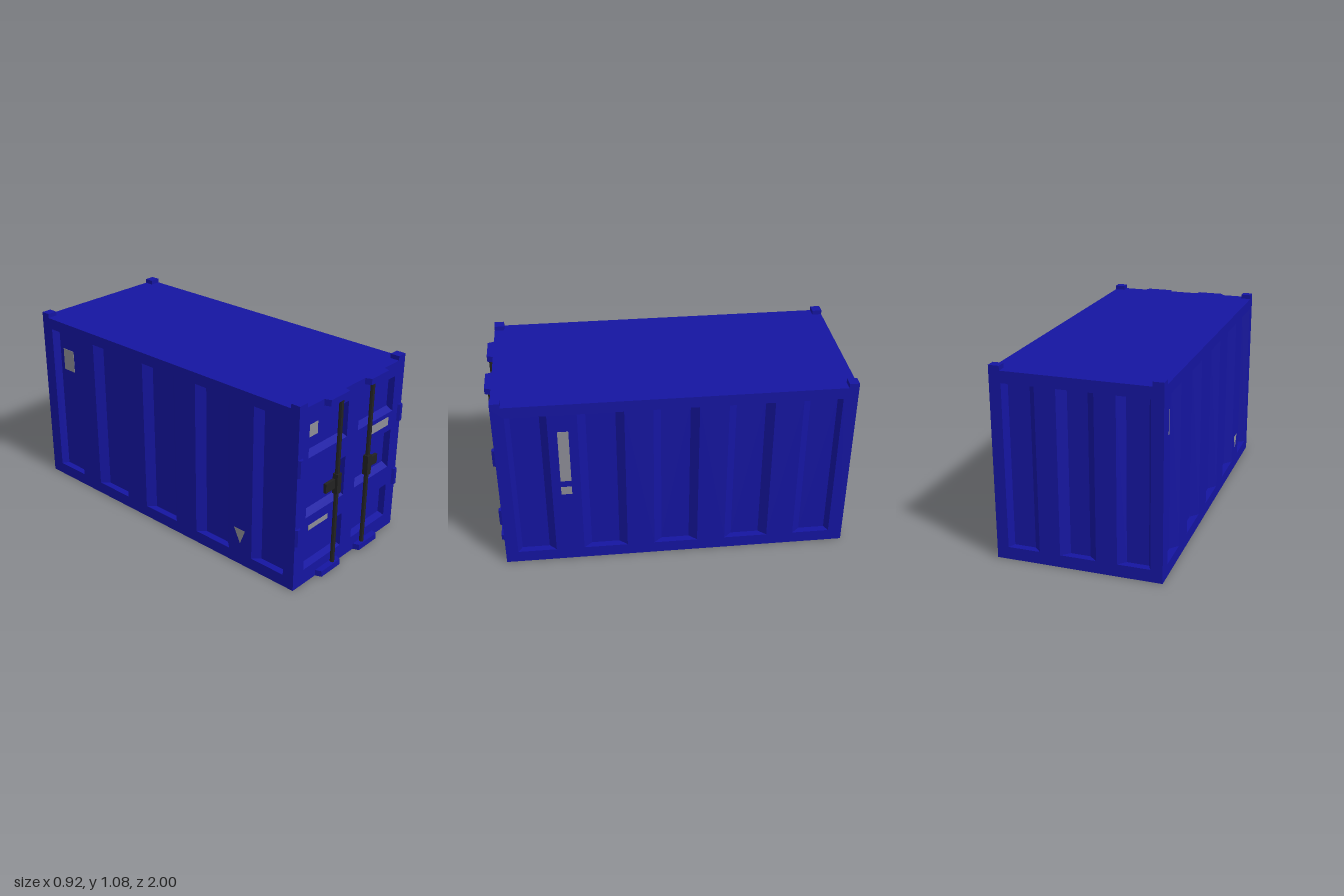
import * as THREE from 'three';
import { mergeGeometries } from 'three/addons/utils/BufferGeometryUtils.js';

const W = 0.46, H = 1.05, BACK = -1, FRONT = 0.965, DEPTH = 0.04;
const mat = (color) => new THREE.MeshStandardMaterial({ color, flatShading: true });

export function createModel() {
  const blue = mat(0x1515a0), dark = mat(0x222222), grey = mat(0x8c8c96);
  const root = new THREE.Group();
  root.name = 'shippingContainer';

  const add = (name, geometry, material, x = 0, y = 0, z = 0, parent = root) => {
    const mesh = new THREE.Mesh(geometry, material);
    mesh.name = name;
    mesh.position.set(x, y, z);
    parent.add(mesh);
    return mesh;
  };
  const box = (name, material, x0, x1, y0, y1, z0, z1) =>
    add(name, new THREE.BoxGeometry(x1 - x0, y1 - y0, z1 - z0), material,
      (x0 + x1) / 2, (y0 + y1) / 2, (z0 + z1) / 2);
  const path = (pts, Type = THREE.Shape) => new Type(pts.map((p) => new THREE.Vector2(...p)));
  const rect = (a, b, c, d) => [[a, c], [b, c], [b, d], [a, d]];

  // Pocket with sloped walls, sunk behind z = 0; q holds the outer and floor bounds
  const pocket = ({ outer, floor }) => {
    const o = rect(...outer).map((p) => [...p, 0]);
    const n = rect(...floor).map((p) => [...p, -DEPTH]);
    const pos = [];
    const quad = (a, b, c, d) => pos.push(...a, ...b, ...c, ...a, ...c, ...d);
    for (let i = 0; i < 4; i++) {
      const j = (i + 1) % 4;
      quad(o[i], o[j], n[j], n[i]);
    }
    quad(...n);
    const g = new THREE.BufferGeometry();
    g.setAttribute('position', new THREE.Float32BufferAttribute(pos, 3));
    g.computeVertexNormals();
    return g;
  };

  // Flat wall with a row of pockets cut into it, facing local +z
  const wall = (name, u0, u1, pockets) => {
    const shape = path(rect(u0, u1, 0, H));
    pockets.forEach((p) => shape.holes.push(path(rect(...p.outer), THREE.Path)));
    const parts = [new THREE.ShapeGeometry(shape).toNonIndexed(), ...pockets.map(pocket)];
    parts.forEach((g) => g.deleteAttribute('uv'));
    return add(name, mergeGeometries(parts), blue);
  };
  const upright = ([a, fa, fb, b]) => ({ outer: [a, b, 0.07, 0.985], floor: [fa, fb, 0.07, 0.985] });
  const flip = (r) => r.map((v) => -v).reverse();

  // Side walls: rows give outer edge, floor edge, floor edge, outer edge along z
  const ribs = [
    [-0.92, -0.9, -0.75, -0.705], [-0.55, -0.505, -0.345, -0.3], [-0.14, -0.095, 0.065, 0.11],
    [0.265, 0.31, 0.47, 0.515], [0.675, 0.715, 0.87, 0.895],
  ];
  const left = wall('leftWall', -FRONT, -BACK, ribs.map(flip).map(upright));
  left.rotation.y = Math.PI / 2;
  left.position.x = W;
  const right = wall('rightWall', BACK, FRONT, ribs.map(upright));
  right.rotation.y = -Math.PI / 2;
  right.position.x = -W;

  // Back wall
  const endRib = [0.215, 0.255, 0.375, 0.395];
  const back = wall('backWall', -W, W, [flip(endRib), [-0.1, -0.055, 0.055, 0.1], endRib].map(upright));
  back.rotation.y = Math.PI;
  back.position.z = BACK;

  // Door wall: three panels per door, sloped at the top and bottom
  const rows = [[0.09, 0.1, 0.275, 0.295], [0.41, 0.43, 0.625, 0.645], [0.76, 0.78, 0.957, 0.967]];
  const panels = [];
  for (const [a, b] of [[-0.375, -0.05], [0.05, 0.375]])
    for (const [y0, f0, f1, y1] of rows)
      panels.push({ outer: [a, b, y0, y1], floor: [a, b, f0, f1] });
  wall('doorWall', -W, W, panels).position.z = FRONT;

  // Roof and floor
  const slab = new THREE.PlaneGeometry(2 * W, FRONT - BACK);
  add('roof', slab, blue, 0, H, (FRONT + BACK) / 2).rotation.x = -Math.PI / 2;
  add('floor', slab, blue, 0, 0, (FRONT + BACK) / 2).rotation.x = Math.PI / 2;

  // Tapered block standing out of the door wall: x bounds at the wall and at its face
  const taper = (name, [a, fa, fb, b], out, y0, y1) => {
    const g = new THREE.ExtrudeGeometry(path([[a, 0], [fa, -out], [fb, -out], [b, 0]]),
      { depth: y1 - y0, bevelEnabled: false });
    g.rotateX(-Math.PI / 2);
    add(name, g, blue, 0, y0, FRONT);
  };

  for (const s of [-1, 1]) {
    const span = (a, b) => (s > 0 ? [a, b] : [-b, -a]);
    const side = (r) => (s > 0 ? r : flip(r));

    // Corner castings on the roof
    box('rearCorner', blue, ...span(0.4, W), H, 1.075, BACK, -0.945);
    box('frontCorner', blue, ...span(0.4, W), H, 1.075, 0.91, FRONT);

    // Bar brackets and hinges
    taper('topBracket', side([0.085, 0.098, 0.252, 0.265]), 0.035, 1.015, H);
    taper('bottomBracket', side([0.08, 0.093, 0.255, 0.268]), 0.035, 0, 0.035);
    for (const y of [0.275, 0.68])
      taper('hinge', side([0.425, 0.434, 0.453, W]), 0.015, y, y + 0.1);

    // Locking bar with its handle
    add('lockBar', new THREE.CylinderGeometry(0.0125, 0.0125, 0.98, 8), dark, s * 0.138, 0.525, 0.981);
    box('handleClamp', dark, ...span(0.12, 0.155), 0.467, 0.585, FRONT, 0.997);
    box('handlePlate', dark, ...span(0.155, 0.232), 0.5, 0.555, FRONT, 0.982);
  }

  // Plain grey label patches, laid just above their surfaces
  const e = 0.002, inner = FRONT - DEPTH;
  box('doorLabel', grey, -0.35, -0.255, 0.845, 0.915, inner, inner + e);
  box('doorLabel', grey, -0.35, -0.185, 0.325, 0.355, FRONT, FRONT + e);
  box('doorLabel', grey, 0.18, 0.34, 0.685, 0.735, FRONT, FRONT + e);
  box('leftLabel', grey, W, W + e, 0.555, 0.88, 0.565, 0.625);
  box('leftLabel', grey, W, W + e, 0.465, 0.515, 0.565, 0.625);
  box('rightLabel', grey, -W + DEPTH - e, -W + DEPTH, 0.73, 0.865, -0.87, -0.78);
  const mark = add('rightTriangle', new THREE.ShapeGeometry(path([[0.55, 0.225], [0.595, 0.135], [0.63, 0.225]])),
    grey, -W - e);
  mark.rotation.y = -Math.PI / 2;

  return root;
}
